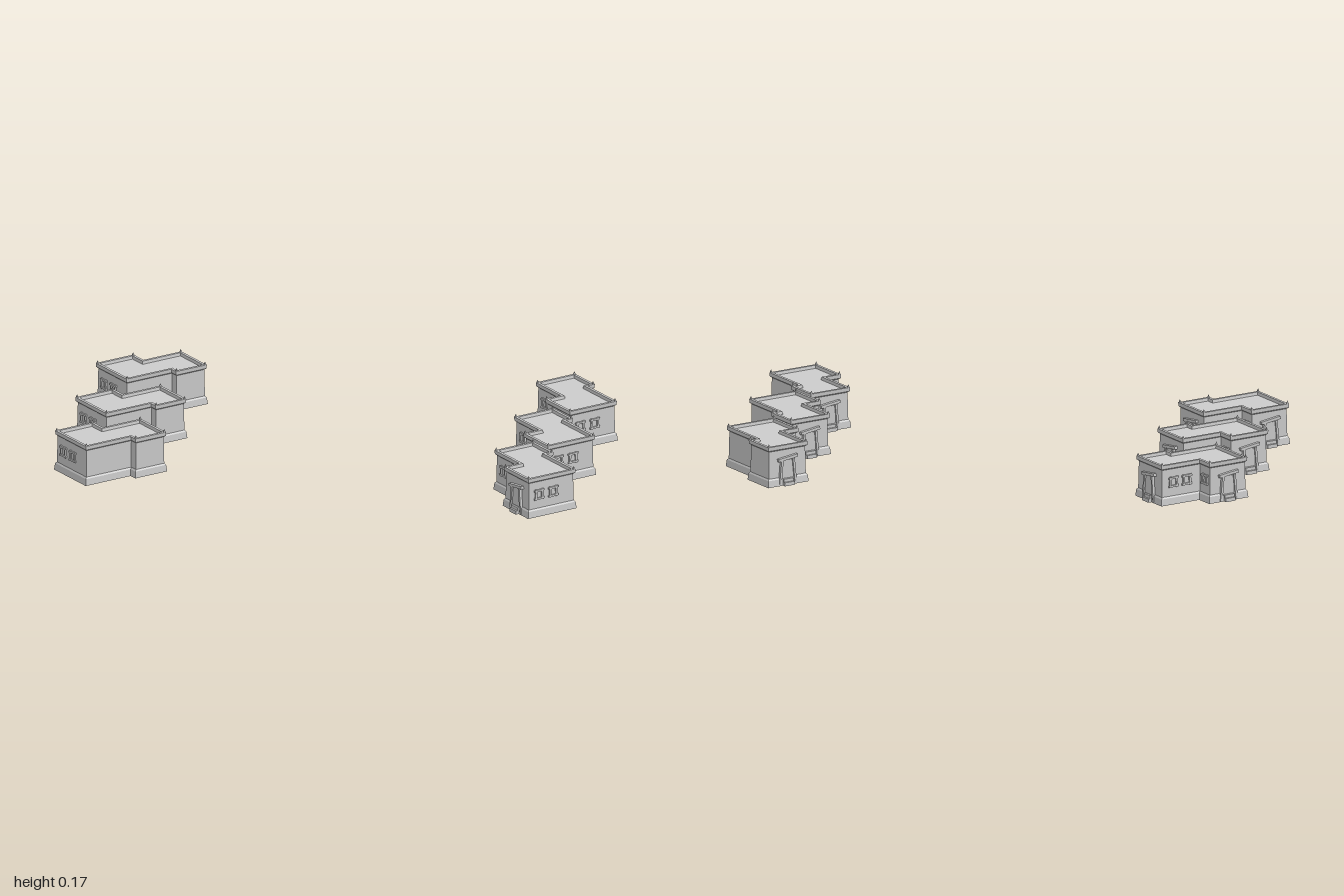
import * as THREE from 'three';

const mat = new THREE.MeshStandardMaterial({ color: 0xcccccc, flatShading: true, side: THREE.DoubleSide });

// L-shaped plan (x, z), centred on its own bounds
const PLAN = [[-0.171, -0.1235], [0, -0.1235], [0, -0.0535], [0.171, -0.0535],
  [0.171, 0.1235], [0.032, 0.1235], [0.032, 0.0905], [-0.171, 0.0905]];
const N = PLAN.length;

// Wall section (offset from plan, y): plinth, wall, cornice, parapet, inner face
const SECTION = [[0.003, 0], [0, 0.026], [-0.005, 0.032], [-0.007, 0.138], [-0.001, 0.143],
  [0, 0.158], [-0.011, 0.158], [-0.013, 0.146]];

const edgeNormal = (i) => {
  const a = PLAN[i % N], b = PLAN[(i + 1) % N];
  return [Math.sign(b[1] - a[1]), -Math.sign(b[0] - a[0])];
};

function offsetPlan(d) {
  return PLAN.map(([x, z], i) => {
    const m = edgeNormal(i + N - 1), n = edgeNormal(i);
    return [x + d * (m[0] + n[0]), z + d * (m[1] + n[1])];
  });
}

function mesh(name, geometry, parent, x = 0, y = 0, z = 0) {
  const m = new THREE.Mesh(geometry, mat);
  m.name = name;
  m.position.set(x, y, z);
  parent.add(m);
  return m;
}

function wallGeometry() {
  const rings = SECTION.map(([d, y]) => offsetPlan(d).map(([x, z]) => [x, y, z]));
  const pos = [];
  for (let j = 0; j < rings.length - 1; j++) {
    for (let i = 0; i < N; i++) {
      const k = (i + 1) % N;
      const a = rings[j][i], b = rings[j][k], c = rings[j + 1][k], d = rings[j + 1][i];
      pos.push(...a, ...d, ...c, ...a, ...c, ...b);
    }
  }
  const g = new THREE.BufferGeometry();
  g.setAttribute('position', new THREE.Float32BufferAttribute(pos, 3));
  g.computeVertexNormals();
  return g;
}

function roofGeometry() {
  const shape = new THREE.Shape(offsetPlan(-0.013).map(([x, z]) => new THREE.Vector2(x, -z)));
  return new THREE.ShapeGeometry(shape).rotateX(-Math.PI / 2);
}

// Doorway facing +z: leaning posts, crooked lintel and a doorstep
function makeDoor() {
  const g = new THREE.Group();
  g.name = 'door';
  for (const s of [-1, 1]) {
    const post = mesh('doorPost', new THREE.BoxGeometry(0.009, 0.1, 0.014), g, s * 0.03, 0.052, -0.002);
    post.rotation.z = s * 0.1;
  }
  const lintel = mesh('doorLintel', new THREE.BoxGeometry(0.086, 0.011, 0.016), g, 0, 0.106, -0.002);
  lintel.rotation.z = 0.13;
  mesh('doorPanel', new THREE.BoxGeometry(0.052, 0.096, 0.008), g, 0, 0.05, -0.005);
  mesh('doorStep', new THREE.BoxGeometry(0.044, 0.014, 0.02), g, 0, 0.007, 0.006);
  mesh('doorThreshold', new THREE.BoxGeometry(0.044, 0.026, 0.012), g, 0, 0.013, 0.002);
  return g;
}

// Window facing +z: four slightly crooked bars
function makeWindow() {
  const g = new THREE.Group();
  g.name = 'window';
  for (const s of [-1, 1]) {
    mesh('windowJamb', new THREE.BoxGeometry(0.008, 0.042, 0.01), g, s * 0.014, 0.087, -0.005).rotation.z = s * 0.05;
    mesh('windowRail', new THREE.BoxGeometry(0.044, 0.007, 0.011), g, 0, 0.087 + s * 0.016, -0.005).rotation.z = 0.06;
  }
  return g;
}

function makeHouse(walls, roof) {
  const house = new THREE.Group();
  house.name = 'house';
  mesh('walls', walls, house);
  mesh('roof', roof, house, 0, 0.146, 0);

  const place = (part, x, z, turn) => {
    part.position.set(x, 0, z);
    part.rotation.y = turn;
    house.add(part);
  };
  const BACK = Math.PI, EAST = Math.PI / 2, WEST = -Math.PI / 2;
  place(makeDoor(), -0.086, -0.1235, BACK);
  place(makeDoor(), 0.171, 0.037, EAST);
  for (const x of [0.055, 0.115]) place(makeWindow(), x, -0.0535, BACK);
  for (const z of [-0.0725, -0.008]) place(makeWindow(), -0.171, z, WEST);
  place(makeWindow(), 0, -0.084, EAST);

  // Small points on the outer corners of the parapet
  const corners = offsetPlan(-0.005);
  corners.forEach(([x, z], i) => {
    const m = edgeNormal(i + N - 1), n = edgeNormal(i);
    const convex = m[0] * n[1] - m[1] * n[0] > 0;
    if (convex) mesh('cornerPoint', new THREE.ConeGeometry(0.006, 0.013, 4), house, x, 0.1635, z).rotation.y = Math.PI / 4;
  });
  return house;
}

export function createModel() {
  const model = new THREE.Group();
  model.name = 'houses';
  const walls = wallGeometry(), roof = roofGeometry();
  // Two rows of three; the second row is turned a quarter
  const rows = [
    { turn: 0, spots: [[-0.826, -0.3235], [-0.561, -0.588], [-0.289, -0.861]] },
    { turn: Math.PI / 2, spots: [[0.873, 0.281], [0.596, 0.553], [0.3315, 0.821]] },
  ];
  for (const { turn, spots } of rows) {
    for (const [x, z] of spots) {
      const house = makeHouse(walls, roof);
      house.position.set(x, 0, z);
      house.rotation.y = turn;
      model.add(house);
    }
  }
  return model;
}
